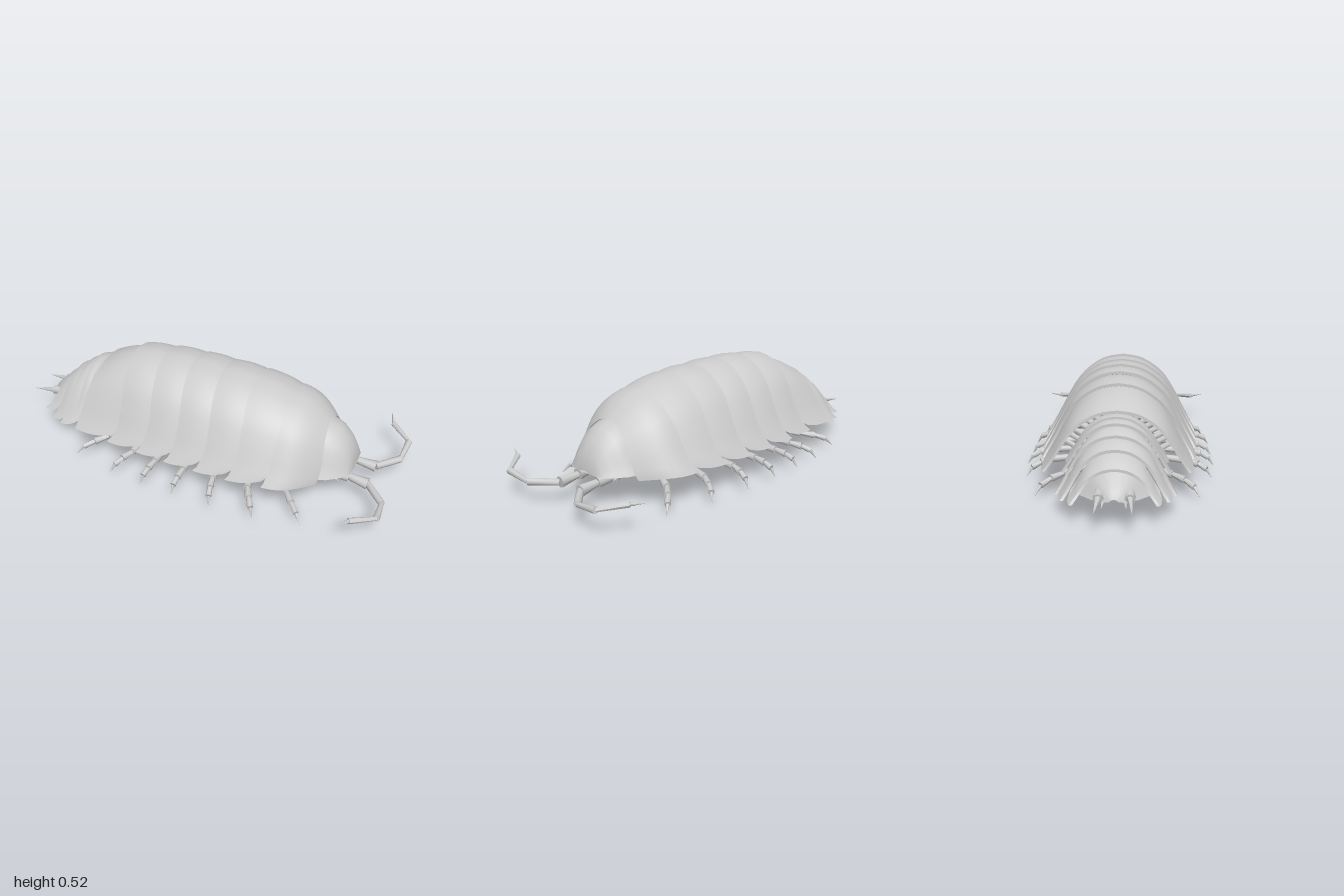
import * as THREE from 'three';
import { toCreasedNormals } from 'three/addons/utils/BufferGeometryUtils.js';

const material = new THREE.MeshStandardMaterial({ color: 0xcccccc, side: THREE.DoubleSide });
const V = (x, y, z) => new THREE.Vector3(x, y, z);
const lerp = THREE.MathUtils.lerp;

// Half cross-section of the armour: x = share of half width, y = share of height
const section = new THREE.SplineCurve([
  [0, 1], [0.235, 0.96], [0.44, 0.845], [0.61, 0.68], [0.75, 0.45], [0.88, 0.2], [1, 0],
].map(p => new THREE.Vector2(...p)));

// Loft rows of { x, w, h, b, shift(t) } into an arched shell
function shell(name, rows, closed = false) {
  const cols = 32, n = cols + 1, pos = [], idx = [];
  for (const r of rows) {
    for (let j = 0; j <= cols; j++) {
      const t = (2 * j) / cols - 1, a = Math.abs(t);
      const s = section.getPoint(a);
      pos.push(r.x + (r.shift ? r.shift(a) : 0), r.b + (r.h - r.b) * s.y, Math.sign(t) * s.x * r.w);
    }
  }
  for (let i = 0; i < rows.length - 1; i++) {
    for (let j = 0; j < (closed ? n : cols); j++) {
      const k = (j + 1) % n, a = i * n + j, b = i * n + k;
      idx.push(a, b, a + n, b, b + n, a + n);
    }
  }
  const geo = new THREE.BufferGeometry();
  geo.setAttribute('position', new THREE.Float32BufferAttribute(pos, 3));
  geo.setIndex(idx);
  const mesh = new THREE.Mesh(toCreasedNormals(geo, 0.75), material);
  mesh.name = name;
  return mesh;
}

// Overlapping armour plate between a rear and a front edge, with a turned-in rear lip
function plate(name, rear, front, bulgeW, bulgeH) {
  const rows = [{ ...rear, w: rear.w - 0.013, h: rear.h - 0.013 }];
  const steps = 8;
  for (let i = 0; i <= steps; i++) {
    const u = i / steps, swell = Math.sin(Math.PI * u);
    rows.push({
      x: lerp(rear.x, front.x, u),
      w: lerp(rear.w, front.w, u) + bulgeW * swell,
      h: lerp(rear.h, front.h, u) + bulgeH * swell,
      b: lerp(rear.b, front.b, u ** 3),
      shift: a => lerp(rear.shift(a), front.shift(a), u),
    });
  }
  return shell(name, rows);
}

// Jointed limb: each segment widens towards its far joint; the last one is a claw
function limb(name, points, radii) {
  const group = new THREE.Group();
  group.name = name;
  for (let i = 0; i < points.length - 1; i++) {
    const dir = points[i + 1].clone().sub(points[i]);
    const last = i === points.length - 2;
    const geo = new THREE.CylinderGeometry(last ? 0.001 : radii[i + 1] * 1.15, radii[i] * 0.7, dir.length(), 8);
    const mesh = new THREE.Mesh(toCreasedNormals(geo, 0.9), material);
    mesh.name = last ? 'tip' : 'segment';
    mesh.position.copy(points[i]).addScaledVector(dir, 0.5);
    mesh.quaternion.setFromUnitVectors(V(0, 1, 0), dir.normalize());
    group.add(mesh);
  }
  return group;
}

export function createModel() {
  const model = new THREE.Group();
  model.name = 'isopod';

  // Seven body plates, rear to front: x, height, half width, side curve of the rear edge
  const body = [
    [-0.54, 0.405, 0.33, -0.02], [-0.37, 0.49, 0.354, 0.045], [-0.2, 0.511, 0.368, 0.042],
    [-0.04, 0.516, 0.376, 0.04], [0.12, 0.511, 0.378, 0.036], [0.29, 0.504, 0.374, 0.025],
    [0.48, 0.466, 0.352, -0.005], [0.66, 0.355, 0.208, 0.02],
  ];
  for (let i = 0; i < 7; i++) {
    const [x, h, w, c] = body[i], [fx, fh, fw, fc] = body[i + 1];
    const first = i === 6;
    const wave = k => a => k * Math.sin(2.6 * a * a);
    const rear = { x, h, w, b: 0.135, shift: a => wave(c)(a) - 0.025 * a ** 8 };
    const front = {
      x: fx + (first ? 0 : 0.02), h: fh - (first ? 0 : 0.018), w: fw - (first ? 0 : 0.02),
      b: first ? 0.12 : 0.155,
      shift: a => wave(fc)(a) - (first ? 0 : 0.05 * a ** 8),
    };
    model.add(plate('bodyPlate' + (7 - i), rear, front, first ? 0.04 : 0.01, first ? 0.02 : 0.011));
  }

  // Narrow tail plates, front to rear: x, height, half width, bottom, backward sweep of the sides
  const tail = [
    [-0.52, 0.395, 0.22, 0.19, 0.0], [-0.575, 0.387, 0.225, 0.18, 0.0], [-0.62, 0.37, 0.24, 0.15, 0.01],
    [-0.675, 0.332, 0.262, 0.08, 0.04], [-0.735, 0.288, 0.23, 0.078, 0.05], [-0.8, 0.225, 0.185, 0.088, 0.06],
  ];
  for (let i = 1; i < tail.length; i++) {
    const [x, h, w, b, s] = tail[i], [fx, fh, fw, , fs] = tail[i - 1];
    model.add(plate('tailPlate' + i,
      { x, h, w, b, shift: a => -s * a ** 3 },
      { x: fx + 0.02, h: fh - 0.012, w: Math.min(w, fw - 0.012), b: b + 0.035, shift: a => -fs * a ** 3 },
      0.01, 0.006));
  }
  model.add(shell('tailEnd', [
    { x: -0.89, w: 0.02, h: 0.125, b: 0.115 }, { x: -0.878, w: 0.055, h: 0.148, b: 0.112 },
    { x: -0.845, w: 0.095, h: 0.182, b: 0.108 }, { x: -0.78, w: 0.15, h: 0.228, b: 0.105 },
  ]));

  // Head with a closed underside
  model.add(shell('head', [
    [0.62, 0.2, 0.355], [0.66, 0.2, 0.352], [0.71, 0.182, 0.328], [0.755, 0.148, 0.282],
    [0.785, 0.12, 0.228], [0.8, 0.092, 0.175], [0.803, 0.03, 0.15],
  ].map(([x, w, h]) => ({ x, w, h, b: 0.142 })), true));

  // Mouthparts
  const mouth = new THREE.Mesh(new THREE.BoxGeometry(0.09, 0.045, 0.09), material);
  mouth.name = 'mouth';
  mouth.position.set(0.65, 0.122, 0);
  model.add(mouth);

  // Knee x and foot tip (x, y, z) of the seven legs
  const legs = [
    [-0.34, -0.55, 0.01, 0.37], [-0.2, -0.31, 0.02, 0.44], [-0.09, -0.13, 0.025, 0.46], [0.05, 0.04, 0.025, 0.46],
    [0.18, 0.235, 0.025, 0.46], [0.32, 0.45, 0.015, 0.44], [0.46, 0.66, 0.0, 0.37],
  ];
  for (const side of [1, -1]) {
    const label = side > 0 ? 'right' : 'left';
    // Legs fold in under the body to a knee near the middle, then reach out to the foot
    legs.forEach(([kx, tx, ty, tz], i) => {
      const at = (f, y, z) => V(lerp(kx, tx, f), y, side * z);
      model.add(limb(label + 'Leg' + (i + 1), [
        at(-0.1, 0.2, 0.25), at(0, 0.105, 0.07), at(0.42, ty + 0.068, tz - 0.12), at(0.65, ty + 0.058, tz - 0.065),
        at(0.85, ty + 0.04, tz - 0.025), at(1, ty, tz),
      ], [0.018, 0.014, 0.016, 0.016, 0.013, 0]));
    });

    // Long bent antenna and a short one beside the mouth
    model.add(limb(label + 'Antenna', [
      V(0.68, 0.125, side * 0.08), V(0.79, 0.11, side * 0.068), V(0.885, 0.1, side * 0.072), V(0.98, 0.1, side * 0.18),
      V(0.988, 0.12, side * 0.31), V(0.885, 0.14, side * 0.4), V(0.86, 0.156, side * 0.463),
    ], [0.036, 0.024, 0.024, 0.015, 0.014, 0.012, 0]));
    model.add(limb(label + 'Feeler', [
      V(0.68, 0.13, side * 0.11), V(0.73, 0.125, side * 0.125), V(0.765, 0.13, side * 0.15),
    ], [0.016, 0.012, 0]));

    // Tail spikes
    model.add(limb(label + 'TailSpike', [
      V(-0.8, 0.14, side * 0.06), V(-0.88, 0.125, side * 0.065), V(-1, 0.11, side * 0.075),
    ], [0.03, 0.02, 0]));
    model.add(limb(label + 'InnerSpike', [
      V(-0.8, 0.12, side * 0.04), V(-0.86, 0.11, side * 0.045), V(-0.92, 0.1, side * 0.05),
    ], [0.018, 0.012, 0]));
  }
  return model;
}
